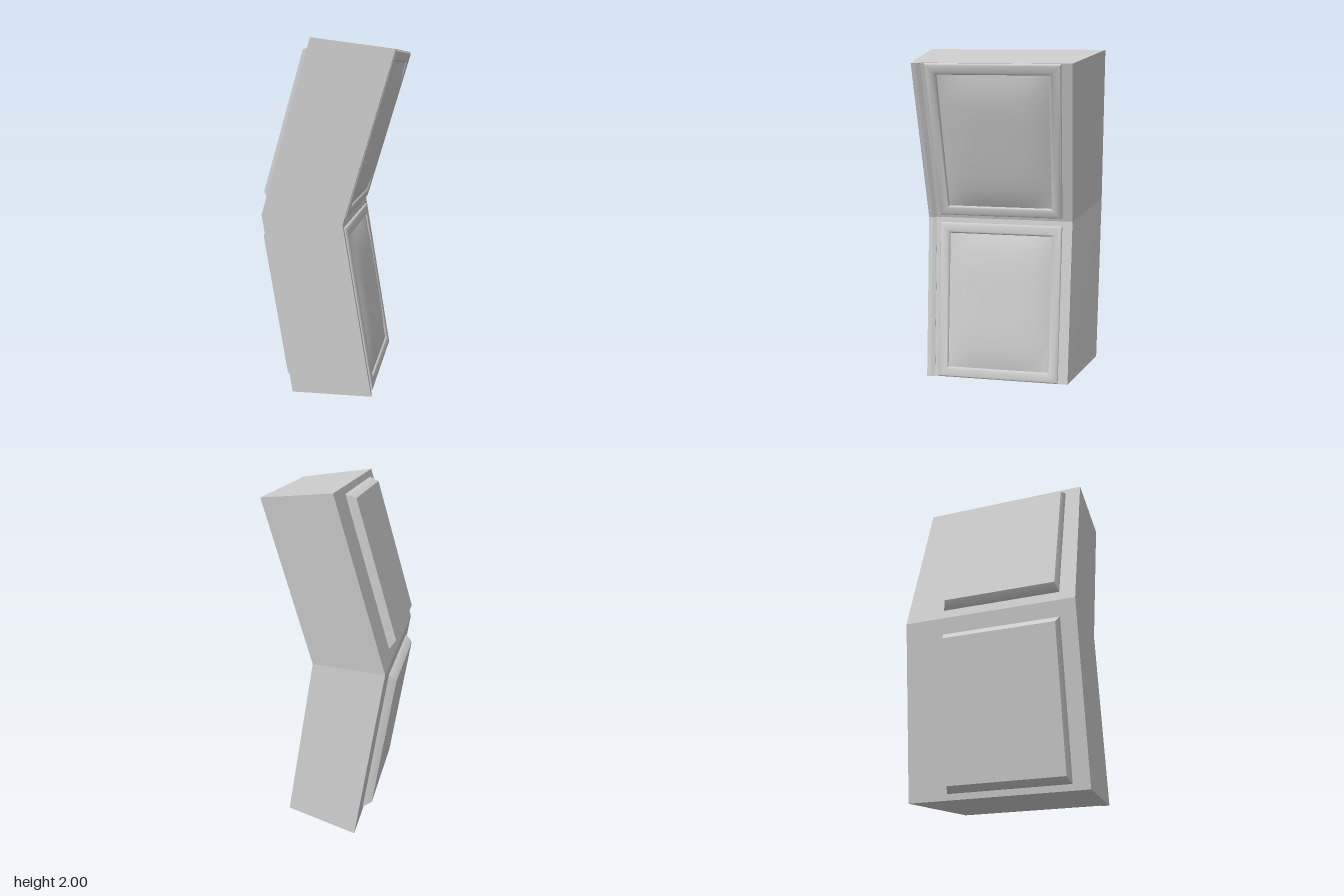
import * as THREE from 'three';
import { toCreasedNormals } from 'three/addons/utils/BufferGeometryUtils.js';

const mat = new THREE.MeshStandardMaterial({ color: 0xcccccc });

function mesh(name, geo) {
  const m = new THREE.Mesh(geo, mat);
  m.name = name;
  return m;
}

// Lofts nested rectangles; each ring is [inset across, inset along, height].
function rectLoft(w, h, rings, cap) {
  const corners = [[-1, -1], [1, -1], [1, 1], [-1, 1]];
  const at = ([du, dv, n], c) => {
    const [sx, sy] = corners[c % 4];
    return [sx * (w / 2 - du), sy * (h / 2 - dv), n];
  };
  const pos = [];
  const quad = (a, b, c, d) => pos.push(...a, ...b, ...c, ...a, ...c, ...d);
  for (let i = 0; i < rings.length - 1; i++)
    for (let c = 0; c < 4; c++)
      quad(at(rings[i], c), at(rings[i], c + 1), at(rings[i + 1], c + 1), at(rings[i + 1], c));
  if (cap) {
    const last = rings[rings.length - 1];
    quad(at(last, 0), at(last, 1), at(last, 2), at(last, 3));
  }
  const g = new THREE.BufferGeometry();
  g.setAttribute('position', new THREE.Float32BufferAttribute(pos, 3));
  return toCreasedNormals(g, 0.7);
}

// Group lying on the slanted wall from a (low) to b (high), local +z pointing outwards.
// side is 1 for the +x wall, -1 for the -x wall.
function onWall(name, a, b, yMid, zMid, side) {
  const up = new THREE.Vector3(b[0] - a[0], b[1] - a[1], 0).normalize();
  const across = new THREE.Vector3(0, 0, -side);
  const out = new THREE.Vector3().crossVectors(across, up);
  const g = new THREE.Group();
  g.name = name;
  g.quaternion.setFromRotationMatrix(new THREE.Matrix4().makeBasis(across, up, out));
  const t = (yMid - a[1]) / (b[1] - a[1]);
  g.position.set(a[0] + t * (b[0] - a[0]), yMid, zMid);
  g.userData.stretch = 1 / up.y; // height in y to length along the wall
  return g;
}

function extrude(points, depth, steps = 1) {
  const shape = new THREE.Shape(points.map(p => new THREE.Vector2(...p)));
  return new THREE.ExtrudeGeometry(shape, { depth, steps, bevelEnabled: false });
}

export function createModel() {
  const model = new THREE.Group();
  model.name = 'bentCabinet';

  // Wall profiles, bottom to top
  const right = [[0.258, 0.01], [0.093, 1.0], [0.37, 1.94]];
  const lip = [[0.27, 0.01], [0.104, 1.0], [0.382, 1.938]];
  const left = [[-0.19, 0], [-0.355, 1.04], [-0.07, 2]];

  // Bent body with its back face angled towards the right wall
  const body = extrude([...right, ...left.slice().reverse()], 1.04);
  body.translate(0, 0, -0.52);
  const p = body.attributes.position;
  for (let i = 0; i < p.count; i++) {
    const onRight = right.some(r => Math.hypot(p.getX(i) - r[0], p.getY(i) - r[1]) < 1e-4);
    if (onRight && p.getZ(i) < 0) p.setZ(i, -0.36);
  }
  body.computeVertexNormals();
  model.add(mesh('body', body));

  // Raised lip along the front edge, eased on its inner side
  const lipGeo = extrude([...lip, ...right.slice().reverse()], 0.048, 2);
  const q = lipGeo.attributes.position;
  for (let i = 0; i < q.count; i++) {
    const k = lip.findIndex(r => Math.hypot(q.getX(i) - r[0], q.getY(i) - r[1]) < 1e-4);
    if (k >= 0 && q.getZ(i) < 0.01) q.setX(i, q.getX(i) - 0.009);
  }
  lipGeo.translate(0, 0, 0.472);
  lipGeo.computeVertexNormals();
  model.add(mesh('frontLip', lipGeo));

  // Rounded frame section
  const frameRings = [[0, 0, -0.005], [0, 0, 0.003]];
  for (let i = 0; i <= 8; i++) {
    const a = (i / 8) * Math.PI;
    const d = 0.032 - 0.032 * Math.cos(a);
    frameRings.push([d, d, 0.003 + 0.012 * Math.sin(a)]);
  }
  frameRings.push([0.066, 0.066, -0.002]);

  // Two framed, softly bulging panels on the right wall
  [['lower', right[0], right[1], 0.012, 0.97], ['upper', right[1], right[2], 1.02, 1.938]]
    .forEach(([name, a, b, y0, y1]) => {
      const g = onWall(name + 'Screen', a, b, (y0 + y1) / 2, 0.075, 1);
      const w = 0.75, h = (y1 - y0) * g.userData.stretch;
      g.add(mesh(name + 'Frame', rectLoft(w, h, frameRings, false)));
      const pw = w - 0.128, ph = h - 0.128;
      const panel = new THREE.PlaneGeometry(pw, ph, 20, 20);
      const v = panel.attributes.position;
      for (let i = 0; i < v.count; i++) {
        const s = Math.abs(v.getX(i) / pw * 2) ** 4;
        const t = Math.abs(v.getY(i) / ph * 2) ** 4;
        v.setZ(i, 0.001 + 0.032 * (1 - s) * (1 - t));
      }
      panel.computeVertexNormals();
      g.add(mesh(name + 'Panel', panel));
      model.add(g);
    });

  // Two bevelled slabs on the left wall
  [['lower', left[0], left[1], 0.035, 0.942], ['upper', left[1], left[2], 1.1, 1.963]]
    .forEach(([name, a, b, y0, y1]) => {
      const g = onWall(name + 'Slab', a, b, (y0 + y1) / 2, 0.07, -1);
      const rings = [[0, 0, -0.005], [0, 0, 0], [0.018, 0.038, 0.048]];
      g.add(mesh(name + 'SlabPlate', rectLoft(0.71, (y1 - y0) * g.userData.stretch, rings, true)));
      model.add(g);
    });

  return model;
}
